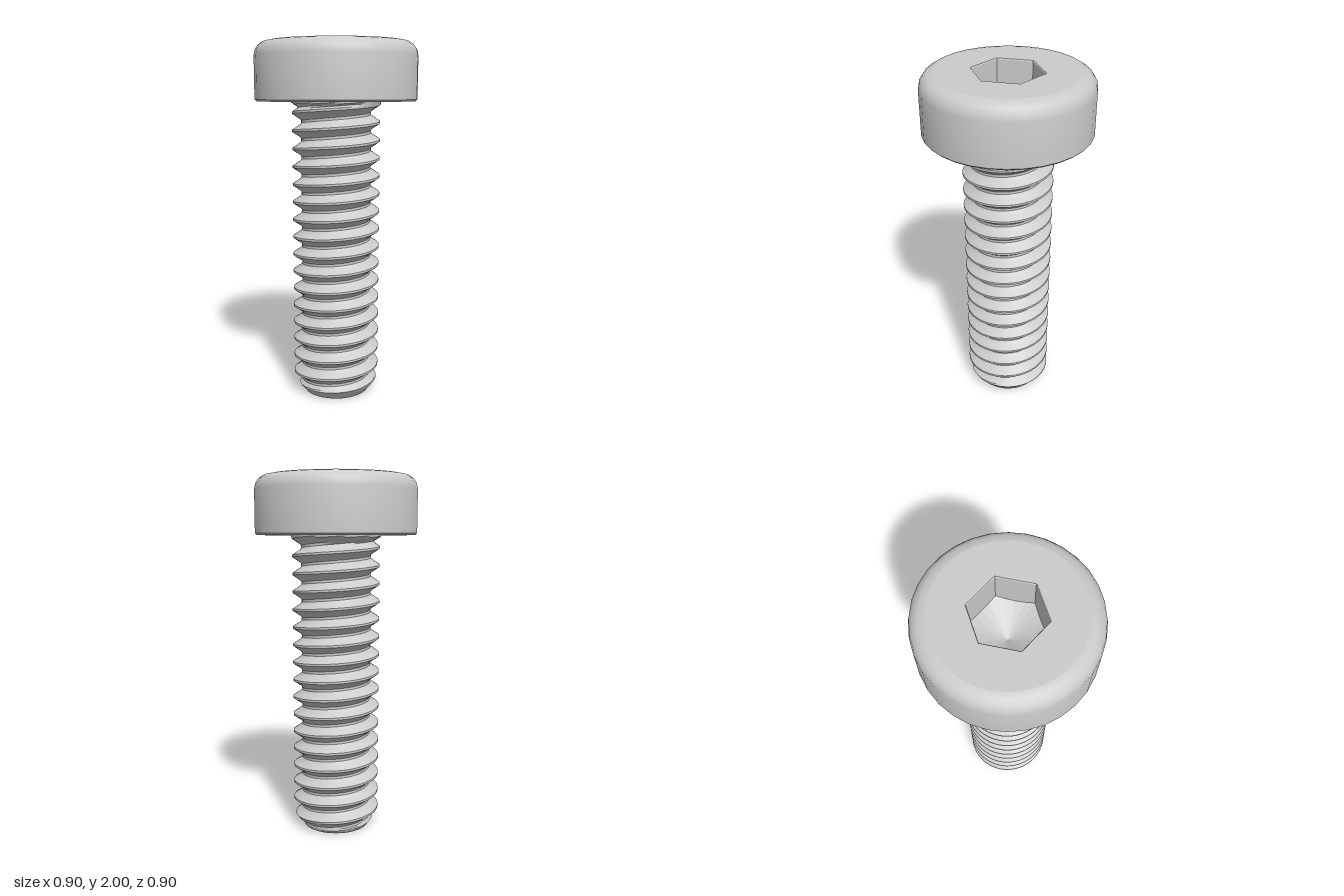
import * as THREE from 'three';
import { toCreasedNormals } from 'three/addons/utils/BufferGeometryUtils.js';

const SIDES = 32;
const HEAD_Y = 1.675, TOP_Y = 2, HEAD_R = 0.45, FILLET = 0.08;
const PITCH = 0.1, CREST_R = 0.245, ROOT_R = 0.195, TIP_R = 0.183;

const clamp = THREE.MathUtils.clamp;
const lerp = THREE.MathUtils.lerp;

// Joins rows of points into a skin; collapsed triangles are dropped.
function skin(rows) {
  const pos = [];
  const tri = (a, b, c) => {
    const n = b.clone().sub(a).cross(c.clone().sub(a));
    if (n.length() > 1e-9) for (const p of [a, b, c]) pos.push(p.x, p.y, p.z);
  };
  for (let j = 0; j < rows.length - 1; j++) {
    for (let i = 0; i < rows[j].length - 1; i++) {
      const a = rows[j][i], b = rows[j][i + 1], c = rows[j + 1][i + 1], d = rows[j + 1][i];
      tri(a, b, c);
      tri(a, c, d);
    }
  }
  const geo = new THREE.BufferGeometry();
  geo.setAttribute('position', new THREE.Float32BufferAttribute(pos, 3));
  geo.computeVertexNormals();
  return geo;
}

const polar = (r, a, y) => new THREE.Vector3(r * Math.cos(a), y, -r * Math.sin(a));

// Points round a hexagon with corners on the z axis, each side split in four.
function hexPoints(cornerR) {
  const pts = [];
  for (let k = 0; k < 6; k++) {
    const a = polar(cornerR, Math.PI / 6 + k * Math.PI / 3, 0);
    const b = polar(cornerR, Math.PI / 6 + (k + 1) * Math.PI / 3, 0);
    for (let s = 0; s < 4; s++) pts.push(a.clone().lerp(b, s / 4));
  }
  return pts;
}

// Radius of the threaded shank; t is the fraction of a pitch from the crest.
function threadRadius(t, y) {
  const d = Math.min(t, 1 - t);
  const thread = d >= 0.4 ? ROOT_R : lerp(CREST_R, 0.2, clamp((d - 0.06) / 0.3, 0, 1));
  const chamfer = TIP_R + 0.8 * y;
  const collar = lerp(ROOT_R, 0.25, clamp((y - 1.635) / 0.03, 0, 1));
  return Math.max(Math.min(thread, chamfer), y > 1.635 ? collar : 0);
}

function threadGeometry() {
  const steps = [0.06, 0.16, 0.26, 0.36, 0.43, 0.57, 0.64, 0.74, 0.84, 0.94];
  const segs = 48, rows = [];
  for (let turn = -3; turn <= 18; turn++) {
    for (const t of steps) {
      const row = [];
      for (let i = 0; i <= segs; i++) {
        const a = i / segs * Math.PI * 2;
        const y = clamp(0.06 + (turn + t + i / segs) * PITCH, 0, HEAD_Y);
        row.push(polar(threadRadius(t, y), a, y));
      }
      rows.push(row);
    }
  }
  return toCreasedNormals(skin(rows), 0.5);
}

export function createModel() {
  const group = new THREE.Group();
  const smooth = new THREE.MeshStandardMaterial({ color: 0xcccccc });
  const faceted = new THREE.MeshStandardMaterial({ color: 0xcccccc, flatShading: true });
  const add = (name, geo, mat) => {
    const mesh = new THREE.Mesh(geo, mat);
    mesh.name = name;
    group.add(mesh);
    return mesh;
  };

  // Head: flat underside, small lower bevel, rounded upper edge
  const profile = [
    [0.2, HEAD_Y], [HEAD_R - 0.01, HEAD_Y], [HEAD_R, HEAD_Y + 0.01],
  ].map(([x, y]) => new THREE.Vector2(x, y));
  for (let i = 0; i <= 4; i++) {
    const a = i / 4 * Math.PI / 2;
    profile.push(new THREE.Vector2(
      HEAD_R - FILLET + FILLET * Math.cos(a), TOP_Y - FILLET + FILLET * Math.sin(a)));
  }
  add('head', toCreasedNormals(new THREE.LatheGeometry(profile, SIDES), 0.6), smooth);

  // Flat top with the hexagonal opening
  const rim = [];
  for (let i = 0; i < SIDES; i++) {
    const a = i / SIDES * Math.PI * 2;
    rim.push(new THREE.Vector2((HEAD_R - FILLET) * Math.cos(a), (HEAD_R - FILLET) * Math.sin(a)));
  }
  const face = new THREE.Shape(rim);
  face.holes.push(new THREE.Path(hexPoints(0.194).map(p => new THREE.Vector2(p.x, -p.z))));
  const faceGeo = new THREE.ShapeGeometry(face).rotateX(-Math.PI / 2);
  add('headTop', faceGeo, smooth).position.y = TOP_Y;

  // Socket: bevelled lip, six walls and a conical floor
  const apexY = 1.71;
  const hexRow = (r, yAt) => {
    const row = hexPoints(r).map(p => p.setY(yAt(Math.hypot(p.x, p.z))));
    return [...row, row[0].clone()];
  };
  const socketRows = [
    hexRow(0.194, () => TOP_Y),
    hexRow(0.19, () => TOP_Y - 0.005),
    hexRow(0.19, r => apexY + r * 0.577),
    hexRow(0, () => apexY),
  ];
  add('hexSocket', skin(socketRows), faceted);

  // Shank with a right-handed helical thread, tip chamfer and collar under the head
  add('threadedShank', threadGeometry(), smooth);

  // Flat tip
  add('shankTip', new THREE.CircleGeometry(TIP_R, 48).rotateX(Math.PI / 2), smooth);

  return group;
}
